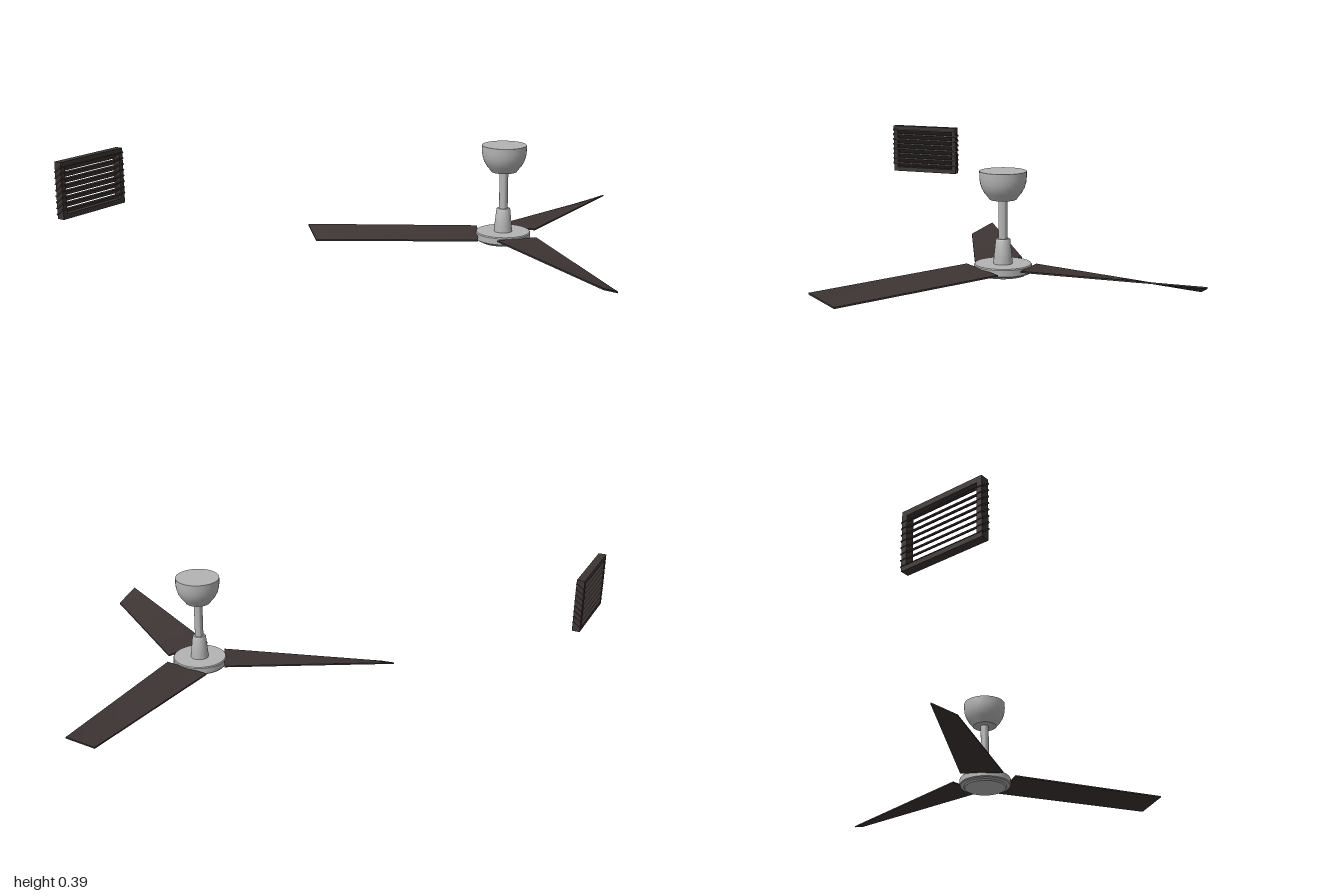
import * as THREE from 'three';
import { toCreasedNormals } from 'three/addons/utils/BufferGeometryUtils.js';

export function createModel() {
  const model = new THREE.Group();
  const metal = new THREE.MeshStandardMaterial({ color: 0xb4b4b4 });
  metal.name = 'brushed metal';
  const darkWood = new THREE.MeshStandardMaterial({ color: 0x3d3534 });
  darkWood.name = 'dark wood';

  const add = (parent, name, geometry, material) => {
    const mesh = new THREE.Mesh(geometry, material);
    mesh.name = name;
    parent.add(mesh);
    return mesh;
  };
  const lathe = (points) => toCreasedNormals(
    new THREE.LatheGeometry(points.map(([r, y]) => new THREE.Vector2(r, y)), 40), 0.6);

  // Ceiling fan
  const fan = new THREE.Group();
  fan.name = 'ceilingFan';
  fan.position.set(0.352, 0, -0.14);
  model.add(fan);

  add(fan, 'canopy', lathe([
    [0, 0.287], [0.05, 0.287], [0.056, 0.296], [0.069, 0.312], [0.079, 0.33],
    [0.085, 0.35], [0.087, 0.37], [0.087, 0.392], [0, 0.392],
  ]), metal);
  add(fan, 'downrod', lathe([[0.017, 0.12], [0.017, 0.3]]), metal);
  add(fan, 'rodCollar', lathe([
    [0.036, 0.04], [0.034, 0.07], [0.027, 0.136], [0.024, 0.14], [0, 0.14],
  ]), metal);
  add(fan, 'motorHub', lathe([
    [0, 0.006], [0.086, 0.006], [0.09, 0.012], [0.104, 0.015],
    [0.107, 0.019], [0.107, 0.043], [0.104, 0.047], [0, 0.047],
  ]), metal);

  // Blades: one straight level edge, one tapering edge that twists down to the tip
  const lerp = THREE.MathUtils.lerp;
  const bladeGeometry = () => {
    const geometry = new THREE.BoxGeometry(1, 1, 1, 4, 1, 10);
    const p = geometry.attributes.position;
    for (let i = 0; i < p.count; i++) {
      const across = p.getX(i) + 0.5;
      const along = 0.5 - p.getZ(i);
      const x = lerp(lerp(-0.09, -0.005, along), 0.09, across);
      const y = lerp(lerp(0.03, 0.003, along), 0.041, across);
      const z = -lerp(0.1, lerp(0.74, 0.78, across), along);
      p.setXYZ(i, x, y + p.getY(i) * 0.006, z);
    }
    return toCreasedNormals(geometry, 0.6);
  };
  for (let i = 0; i < 3; i++) {
    add(fan, 'blade' + (i + 1), bladeGeometry(), darkWood).rotation.y = i * Math.PI * 2 / 3;
  }

  // Wall vent with tilted slats
  const vent = new THREE.Group();
  vent.name = 'louvreVent';
  vent.position.set(-0.983, 0.253, 0.749);
  model.add(vent);
  const width = 0.324, height = 0.222, depth = 0.032, border = 0.02;
  for (const side of [-1, 1]) {
    add(vent, side < 0 ? 'frameBottom' : 'frameTop',
      new THREE.BoxGeometry(depth, border, width), darkWood)
      .position.y = side * (height - border) / 2;
    add(vent, side < 0 ? 'frameBack' : 'frameFront',
      new THREE.BoxGeometry(depth, height - 2 * border, border), darkWood)
      .position.z = side * (width - border) / 2;
  }
  const slats = 8;
  for (let i = 0; i < slats; i++) {
    const slat = add(vent, 'slat' + (i + 1),
      new THREE.BoxGeometry(0.04, 0.006, width + 0.008), darkWood);
    slat.position.y = (i - (slats - 1) / 2) * 0.0235;
    slat.rotation.z = 0.65;
  }

  return model;
}
